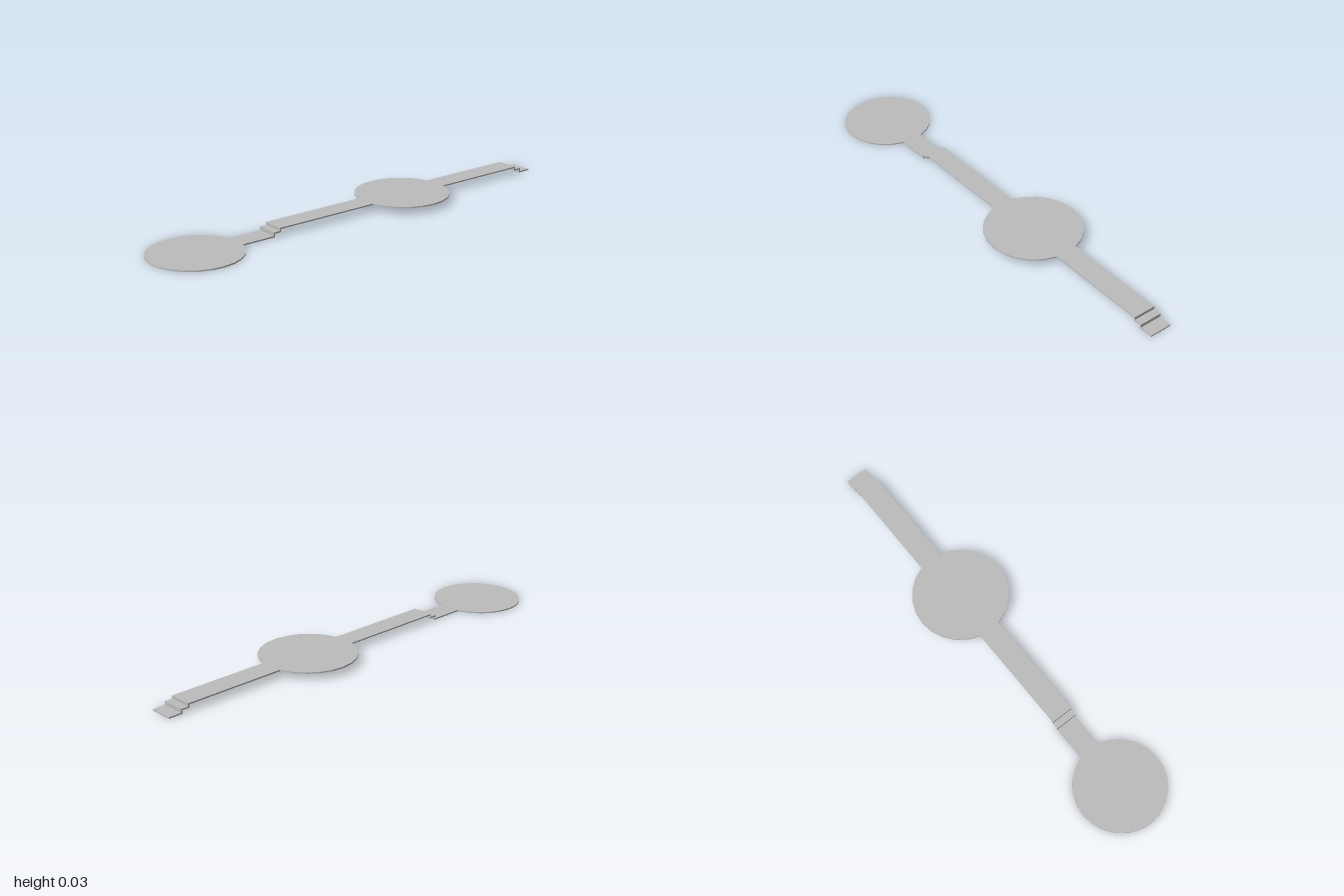
import * as THREE from 'three';

const T = 0.006;                               // sheet thickness
const LOW = 0, MID = 0.015, HIGH = 0.028;      // underside heights
const RIGHT = 0.045, LEFT = -0.05, LEFT_BACK = -0.055;

export function createModel() {
  const group = new THREE.Group();
  const grey = new THREE.MeshStandardMaterial({ color: 0xbcbcbc });
  grey.name = 'lightGrey';

  function add(name, geometry) {
    const mesh = new THREE.Mesh(geometry, grey);
    mesh.name = name;
    group.add(mesh);
  }

  // Flat slab from a plan outline drawn in (x, -z)
  function slab(name, shape, y, curveSegments) {
    const g = new THREE.ExtrudeGeometry(shape, { depth: T, bevelEnabled: false, curveSegments });
    g.rotateX(-Math.PI / 2);
    g.translate(0, y, 0);
    add(name, g);
  }

  // Folded pair of steps; s is the direction of descent along z
  function steps(name, z, s, run, left) {
    const profile = [
      [run, LOW], [run, MID + T], [0, MID + T], [0, HIGH + T],
      [-T, HIGH + T], [-T, MID], [run - T, MID], [run - T, LOW],
    ].map(([d, y]) => new THREE.Vector2(z + s * d, y));
    const g = new THREE.ExtrudeGeometry(new THREE.Shape(profile), {
      depth: RIGHT - left, bevelEnabled: false,
    });
    g.rotateY(-Math.PI / 2);
    g.translate(RIGHT, 0, 0);
    add(name, g);
  }

  // Lower round platform with its short walkway
  const r1 = 0.196;
  const lower = new THREE.Shape();
  lower.moveTo(RIGHT, -0.46);
  lower.lineTo(LEFT, -0.46);
  lower.absarc(0, -0.8, r1, Math.acos(LEFT / r1), 2 * Math.PI + Math.acos(RIGHT / r1), false);
  lower.closePath();
  slab('lowerRoundPlatform', lower, LOW, 11);

  // Raised walkway with a round platform in its middle
  const r2 = 0.207, c2 = 0.255;
  const a = Math.acos(RIGHT / r2);
  const upper = new THREE.Shape();
  upper.moveTo(LEFT, -0.424);
  upper.lineTo(RIGHT, -0.424);
  upper.absarc(0, c2, r2, -a, a, false);
  upper.lineTo(RIGHT, 0.904);
  upper.lineTo(LEFT_BACK, 0.904);
  upper.absarc(0, c2, r2, Math.acos(LEFT_BACK / r2), 2 * Math.PI - Math.acos(LEFT / r2), false);
  upper.closePath();
  slab('raisedWalkway', upper, HIGH, 5);

  // Steps down at both ends of the raised walkway
  steps('frontSteps', 0.43, 1, 0.03, LEFT);
  steps('backSteps', -0.91, -1, 0.034, LEFT_BACK);

  // Landing at the foot of the back steps
  const landing = new THREE.BoxGeometry(RIGHT - LEFT_BACK, T, 0.056);
  landing.translate((RIGHT + LEFT_BACK) / 2, T / 2, -0.972);
  add('backLanding', landing);

  return group;
}
